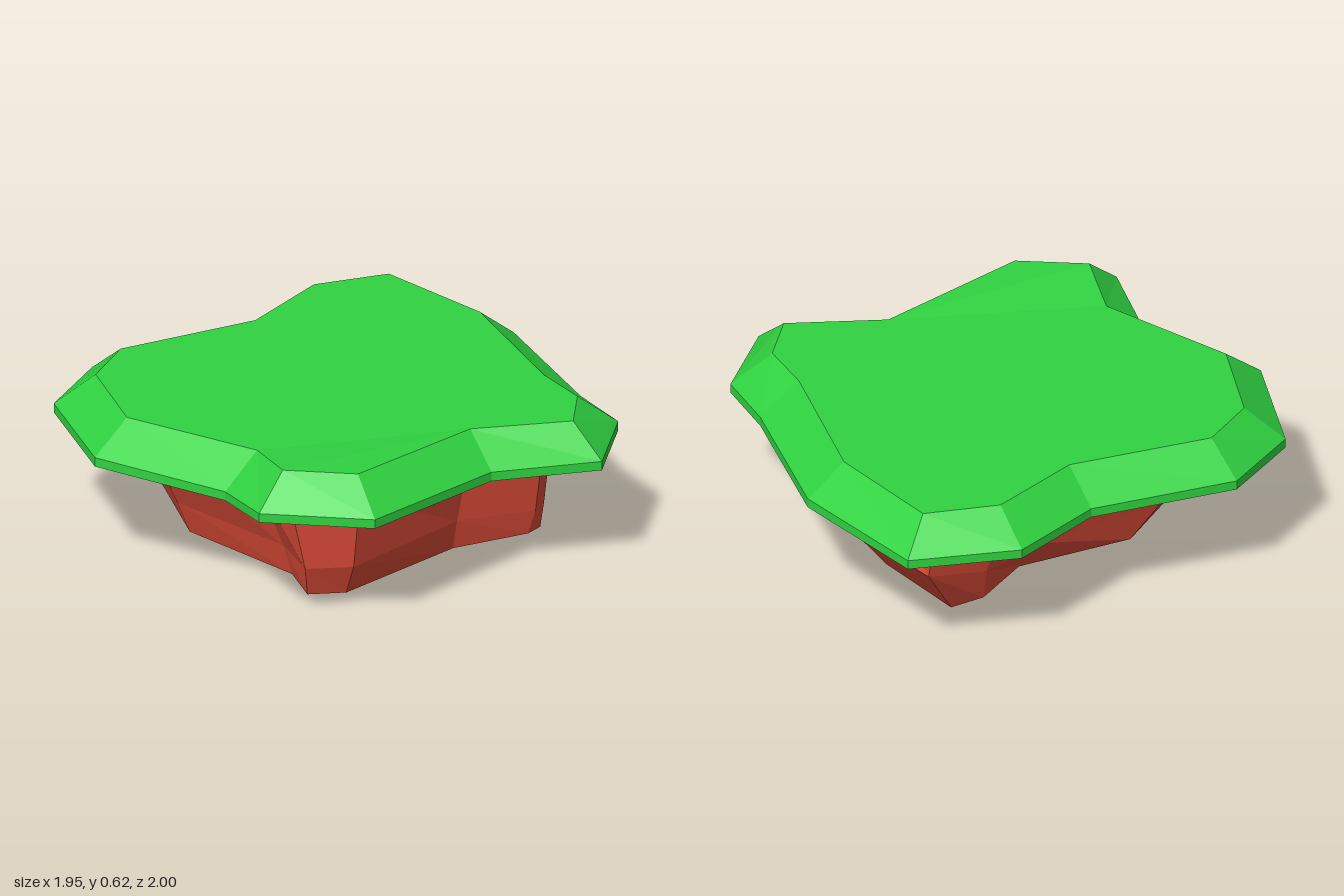
import * as THREE from 'three';

// Rings run back -> +x side -> front -> -x side; each point is [x, y, z].
const flat = (y, pts) => pts.map(([x, z, h = y]) => [x, h, z]);

// Skins consecutive rings with quads; optional caps close the first and last ring.
function skin(rings, capTop, capBottom) {
  const n = rings[0].length;
  const position = rings.flat(2);
  const index = [];
  for (let r = 0; r < rings.length - 1; r++) {
    for (let i = 0; i < n; i++) {
      const j = (i + 1) % n;
      const a = r * n + i, b = r * n + j, c = a + n, d = b + n;
      index.push(a, b, c, b, d, c);
    }
  }
  const cap = (ring, offset, up) => {
    const outline = ring.map(([x, , z]) => new THREE.Vector2(x, z));
    for (const [a, b, c] of THREE.ShapeUtils.triangulateShape(outline, [])) {
      const [p, q, s] = [outline[a], outline[b], outline[c]];
      const facesDown = (q.x - p.x) * (s.y - p.y) - (q.y - p.y) * (s.x - p.x) > 0;
      if (facesDown === up) index.push(offset + a, offset + c, offset + b);
      else index.push(offset + a, offset + b, offset + c);
    }
  };
  if (capTop) cap(rings[0], 0, true);
  if (capBottom) cap(rings.at(-1), (rings.length - 1) * n, false);
  const indexed = new THREE.BufferGeometry();
  indexed.setAttribute('position', new THREE.Float32BufferAttribute(position, 3));
  indexed.setIndex(index);
  const geometry = indexed.toNonIndexed();
  geometry.computeVertexNormals();
  return geometry;
}

export function createModel() {
  const grass = new THREE.MeshStandardMaterial({ color: 0x30d341, flatShading: true });
  grass.name = 'grass green';
  const earth = new THREE.MeshStandardMaterial({ color: 0xdf4c39, flatShading: true });
  earth.name = 'red earth';

  // Grass: plateau edge, bevelled rim, and hollow underside
  const plateau = flat(0.583, [
    [-0.23, -0.845], [0.4, -0.68], [0.64, -0.66], [0.82, -0.505], [0.645, -0.145],
    [0.77, 0.485, 0.603], [0.59, 0.71, 0.615], [0.32, 0.63], [-0.23, 0.84],
    [-0.63, 0.69], [-0.77, 0.465], [-0.68, -0.11], [-0.82, -0.495], [-0.73, -0.785],
  ]);
  const rim = flat(0.46, [
    [-0.22, -1], [0.42, -0.84], [0.7, -0.81], [0.97, -0.53], [0.8, -0.13],
    [0.925, 0.52, 0.475], [0.64, 0.86, 0.49], [0.33, 0.79, 0.455], [-0.22, 1],
    [-0.73, 0.815], [-0.92, 0.49], [-0.83, -0.1], [-0.975, -0.49], [-0.83, -0.91],
  ]);
  const rimBottom = rim.map(([x, y, z]) => [x, y - 0.037, z]);
  const hollow = plateau.map(([x, y, z], i) => [
    x + (rim[i][0] - x) * 0.3, y - 0.06, z + (rim[i][2] - z) * 0.3,
  ]);

  // Earth: three rings tapering to an uneven bottom, with a notch at the back
  const earthTop = flat(0.51, [
    [-0.2, -0.73, 0.53], [0.5, -0.66, 0.47], [0.66, -0.53], [0.75, -0.42], [0.65, -0.14, 0.48],
    [0.735, 0.45, 0.48], [0.6, 0.69], [0.33, 0.67], [-0.2, 0.78],
    [-0.57, 0.65], [-0.69, 0.4], [-0.66, -0.1], [-0.74, -0.42], [-0.69, -0.7],
  ]);
  const earthMiddle = flat(0.18, [
    [-0.2, -0.79, 0.25], [0.46, -0.53, 0.25], [0.64, -0.5], [0.68, -0.43], [0.58, -0.13],
    [0.695, 0.45], [0.6, 0.61], [0.37, 0.54], [-0.2, 0.62],
    [-0.52, 0.55, 0.27], [-0.6, 0.33, 0.24], [-0.54, -0.14], [-0.62, -0.44], [-0.61, -0.69, 0.22],
  ]);
  const earthBottom = flat(0.05, [
    [-0.18, -0.63], [0.42, -0.38, 0.06], [0.63, -0.49, 0.08], [0.645, -0.42, 0.075], [0.54, -0.14],
    [0.635, 0.44], [0.56, 0.57], [0.37, 0.5], [-0.19, 0.57],
    [-0.44, 0.48, 0.17], [-0.54, 0.24, 0.09], [-0.45, -0.2], [-0.56, -0.42, 0.03], [-0.52, -0.54, 0],
  ]);

  const group = new THREE.Group();
  group.name = 'terrainPatch';
  const grassCap = new THREE.Mesh(skin([plateau, rim, rimBottom, hollow, earthTop], true, false), grass);
  grassCap.name = 'grassCap';
  const earthBase = new THREE.Mesh(skin([earthTop, earthMiddle, earthBottom], false, true), earth);
  earthBase.name = 'earthBase';
  group.add(grassCap, earthBase);
  return group;
}
